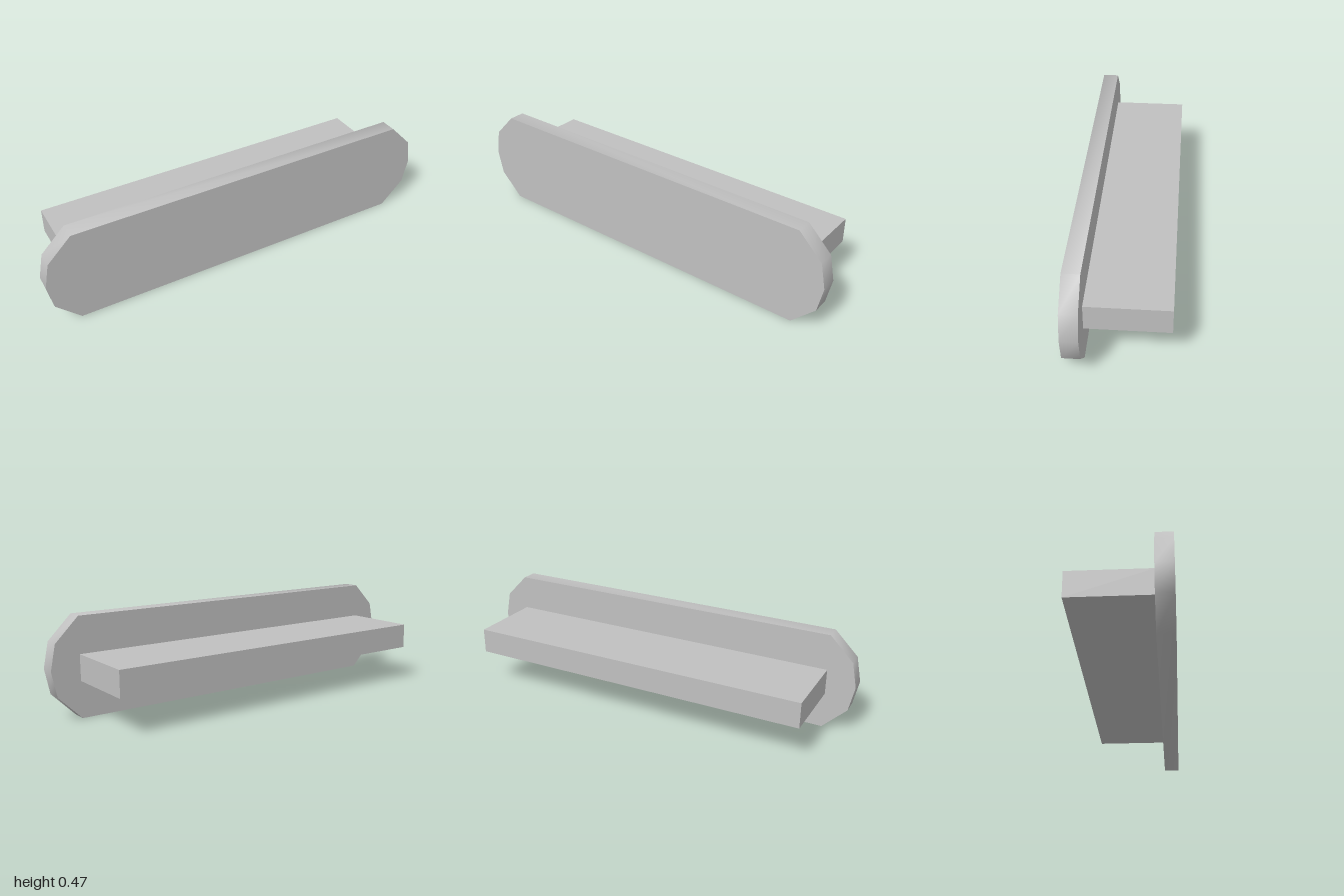
import * as THREE from 'three';
import { toCreasedNormals } from 'three/addons/utils/BufferGeometryUtils.js';

export function createModel() {
  const model = new THREE.Group();
  model.name = 'tile';
  const grey = new THREE.MeshStandardMaterial({ color: 0xc0c0c0 });
  grey.name = 'light grey';

  // Face plate: long slab with faceted rounded ends
  const right = [[0.86, 0], [0.975, 0.115], [1, 0.237], [0.975, 0.359], [0.86, 0.474]];
  const left = right.map(([x, y]) => [-x, y]).reverse();
  const outline = new THREE.Shape([...right, ...left].map(([x, y]) => new THREE.Vector2(x, y)));
  const plateGeometry = new THREE.ExtrudeGeometry(outline, { depth: 0.079, bevelEnabled: false });
  plateGeometry.translate(0, 0, 0.148);
  // Smooth the rim, keep the front and back edges sharp
  const plate = new THREE.Mesh(toCreasedNormals(plateGeometry, THREE.MathUtils.degToRad(50)), grey);
  plate.name = 'facePlate';
  model.add(plate);

  // Mounting bar behind the plate
  const bar = new THREE.Mesh(new THREE.BoxGeometry(1.72, 0.124, 0.375), grey);
  bar.position.set(0, 0.237, -0.0395);
  bar.name = 'mountingBar';
  model.add(bar);

  return model;
}
